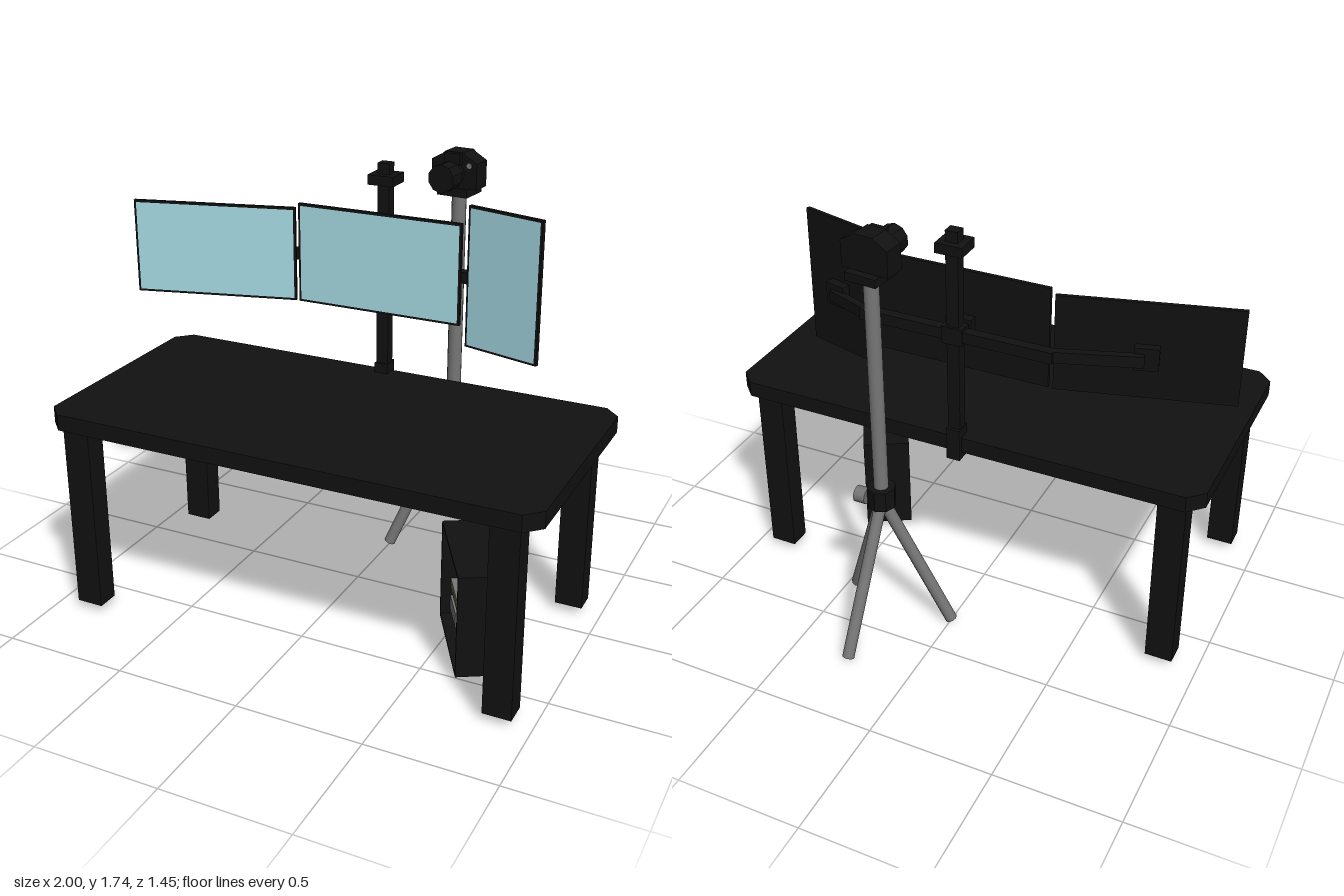
import * as THREE from 'three';

const mat = (color, extra = {}) => new THREE.MeshStandardMaterial({ color, ...extra });
const black = mat(0x111111, { flatShading: true });
const metal = mat(0x777777);
const glass = mat(0xa8dce6);
const partGrey = mat(0x777777, { flatShading: true });
const green = mat(0x5a7a2a);

function add(parent, name, geo, material, x = 0, y = 0, z = 0) {
  const m = new THREE.Mesh(geo, material);
  m.name = name;
  m.position.set(x, y, z);
  parent.add(m);
  return m;
}

// Box given by its min and max along each axis
function span(parent, name, x0, x1, y0, y1, z0, z1, material = black) {
  return add(parent, name, new THREE.BoxGeometry(x1 - x0, y1 - y0, z1 - z0), material,
    (x0 + x1) / 2, (y0 + y1) / 2, (z0 + z1) / 2);
}

function group(parent, name, x = 0, y = 0, z = 0, ry = 0) {
  const g = new THREE.Group();
  g.name = name;
  g.position.set(x, y, z);
  g.rotation.y = ry;
  parent.add(g);
  return g;
}

// Cylinder between two points
function rod(parent, name, a, b, r, material, sides = 12) {
  const p = new THREE.Vector3(...a), q = new THREE.Vector3(...b);
  const dir = q.clone().sub(p);
  const m = add(parent, name, new THREE.CylinderGeometry(r, r, dir.length(), sides), material);
  m.position.copy(p).add(q).multiplyScalar(0.5);
  m.quaternion.setFromUnitVectors(new THREE.Vector3(0, 1, 0), dir.normalize());
  return m;
}

// Square bar between two points at the same height
function bar(parent, name, x0, z0, x1, z1, y, h, t) {
  const len = Math.hypot(x1 - x0, z1 - z0);
  const m = add(parent, name, new THREE.BoxGeometry(len, h, t), black, (x0 + x1) / 2, y, (z0 + z1) / 2);
  m.rotation.y = -Math.atan2(z1 - z0, x1 - x0);
  return m;
}

function buildDesk(root) {
  const desk = group(root, 'desk');
  // Top with clipped corners
  const x0 = -0.97, x1 = 1, z0 = -0.24, z1 = 0.725, c = 0.06;
  const outline = [[x0 + c, z0], [x1 - c, z0], [x1, z0 + c], [x1, z1 - c],
    [x1 - c, z1], [x0 + c, z1], [x0, z1 - c], [x0, z0 + c]];
  const shape = new THREE.Shape(outline.map(([x, z]) => new THREE.Vector2(x, -z)));
  const geo = new THREE.ExtrudeGeometry(shape, { depth: 0.065, bevelEnabled: false });
  geo.rotateX(-Math.PI / 2);
  add(desk, 'deskTop', geo, black, 0, 0.79, 0);
  // Legs
  for (const x of [-0.85, 0.875])
    for (const z of [-0.16, 0.655])
      span(desk, 'deskLeg', x - 0.055, x + 0.055, 0.035, 0.79, z - 0.045, z + 0.045);
}

function buildMonitor(root, name, w, h, x, y, z, ry) {
  const g = group(root, name, x, y, z, ry);
  add(g, 'frame', new THREE.BoxGeometry(w, h, 0.016), black);
  add(g, 'screen', new THREE.PlaneGeometry(w - 0.018, h - 0.018), glass, 0, 0, 0.0095);
}

function buildMonitors(root) {
  const g = group(root, 'monitorStand');
  const tilt = 0.26, y = 1.3;
  buildMonitor(g, 'middleMonitor', 0.695, 0.405, 0.013, 1.328, -0.157, 0);
  buildMonitor(g, 'rightMonitor', 0.67, 0.385, -0.675, 1.317, -0.073, tilt);
  buildMonitor(g, 'leftMonitor', 0.328, 0.56, 0.546, 1.325, -0.118, -tilt);
  // Post, desk clamp and top fitting
  span(g, 'post', -0.013, 0.037, 0.8, 1.715, -0.245, -0.2);
  span(g, 'clampPlate', -0.016, 0.04, 0.76, 0.895, -0.258, -0.236);
  span(g, 'clampTop', -0.016, 0.04, 0.85, 0.895, -0.258, -0.19);
  span(g, 'clampJaw', -0.016, 0.04, 0.76, 0.79, -0.258, -0.19);
  span(g, 'topFitting', -0.042, 0.066, 1.633, 1.672, -0.272, -0.17);
  // Arms and mounts
  span(g, 'armSleeve', -0.03, 0.054, 1.265, 1.335, -0.255, -0.195);
  span(g, 'middleMount', -0.04, 0.064, 1.25, 1.35, -0.2, -0.163);
  bar(g, 'armBar', -0.38, -0.228, 0.4, -0.228, y, 0.045, 0.04);
  bar(g, 'rightArm', -0.37, -0.225, -0.68, -0.12, y, 0.045, 0.03);
  bar(g, 'leftArm', 0.39, -0.225, 0.57, -0.155, y, 0.045, 0.03);
  for (const [x, z, s] of [[-0.68, -0.095, 1], [0.553, -0.142, -1]]) {
    const mount = group(g, 'sideMount', x, y, z, s * tilt);
    add(mount, 'mountPlate', new THREE.BoxGeometry(0.09, 0.09, 0.035), black);
  }
}

function buildTripod(root) {
  const g = group(root, 'tripod');
  const x = 0.237, z = -0.427;
  rod(g, 'column', [x, 0.6, z], [x, 1.58, z], 0.029, metal, 16);
  add(g, 'collar', new THREE.CylinderGeometry(0.057, 0.057, 0.085, 8), black, x, 0.633, z);
  rod(g, 'knob', [x + 0.045, 0.632, -0.455], [x + 0.092, 0.632, -0.455], 0.033, metal);
  for (const [ex, ez] of [[0.0, -0.32], [0.462, -0.28], [0.265, -0.7]])
    rod(g, 'tripodLeg', [x, 0.615, z], [ex, 0.013, ez], 0.025, metal, 10);

  // Camera
  const cam = group(g, 'camera', x, 0, z, -0.1);
  span(cam, 'headPlate', -0.065, 0.065, 1.572, 1.605, -0.065, 0.065);
  const s = new THREE.Shape([[-0.098, 1.605], [0.098, 1.605], [0.098, 1.708], [0.05, 1.735], [0.04, 1.745],
    [-0.04, 1.745], [-0.05, 1.735], [-0.098, 1.708]].map(p => new THREE.Vector2(...p)));
  add(cam, 'cameraBody', new THREE.ExtrudeGeometry(s, { depth: 0.085, bevelEnabled: false }), black, 0, 0, -0.035);
  span(cam, 'prismHousing', -0.035, 0.035, 1.7, 1.743, 0.04, 0.07);
  rod(cam, 'lensNeck', [0, 1.66, 0.04], [0, 1.66, 0.1], 0.045, black, 10);
  rod(cam, 'lensBarrel', [0, 1.66, 0.085], [0, 1.66, 0.158], 0.056, black, 10);
  rod(cam, 'cameraLight', [0.066, 1.697, 0.04], [0.066, 1.697, 0.053], 0.011, metal, 10);
}

function buildComputer(root) {
  // Case turned on the floor, its side facing -x open onto the parts
  const g = group(root, 'computerCase', 0.632, 0.0, 0.305, Math.PI / 6);
  const w = 0.0975, d = 0.215, b = 0.035, t = 0.45, k = 0.01;
  span(g, 'caseFloor', -w, w, b, b + k, -d, d);
  span(g, 'caseRoof', -w, w, t - k, t, -d, d);
  span(g, 'caseFront', -w, w, b, t, d - k, d);
  span(g, 'caseBack', -w, w, b, t, -d, -d + k);
  span(g, 'caseSide', w - k, w, b, t, -d, d);
  // Parts inside
  rod(g, 'rearFan', [0, 0.318, -d + k], [0, 0.318, -d + 0.035], 0.06, partGrey, 6).rotateY(Math.PI / 6);
  span(g, 'circuitBoard', w - 0.02, w - k, 0.16, 0.41, -0.17, 0.1);
  span(g, 'processorCooler', 0.045, w - 0.02, 0.24, 0.36, -0.13, -0.05, partGrey);
  span(g, 'graphicsCard', -0.06, w - 0.02, 0.182, 0.205, -0.2, 0.08, partGrey);
  span(g, 'graphicsCardStrip', -0.062, w - 0.02, 0.17, 0.18, -0.19, 0.08, green);
  span(g, 'powerSupply', -0.06, w - 0.02, 0.07, 0.13, -0.2, -0.06, partGrey);
  span(g, 'driveBay', -0.06, w - 0.02, 0.07, 0.13, -0.03, 0.1, partGrey);
}

export function createModel() {
  const root = new THREE.Group();
  root.name = 'workstation';
  buildDesk(root);
  buildMonitors(root);
  buildTripod(root);
  buildComputer(root);
  return root;
}
